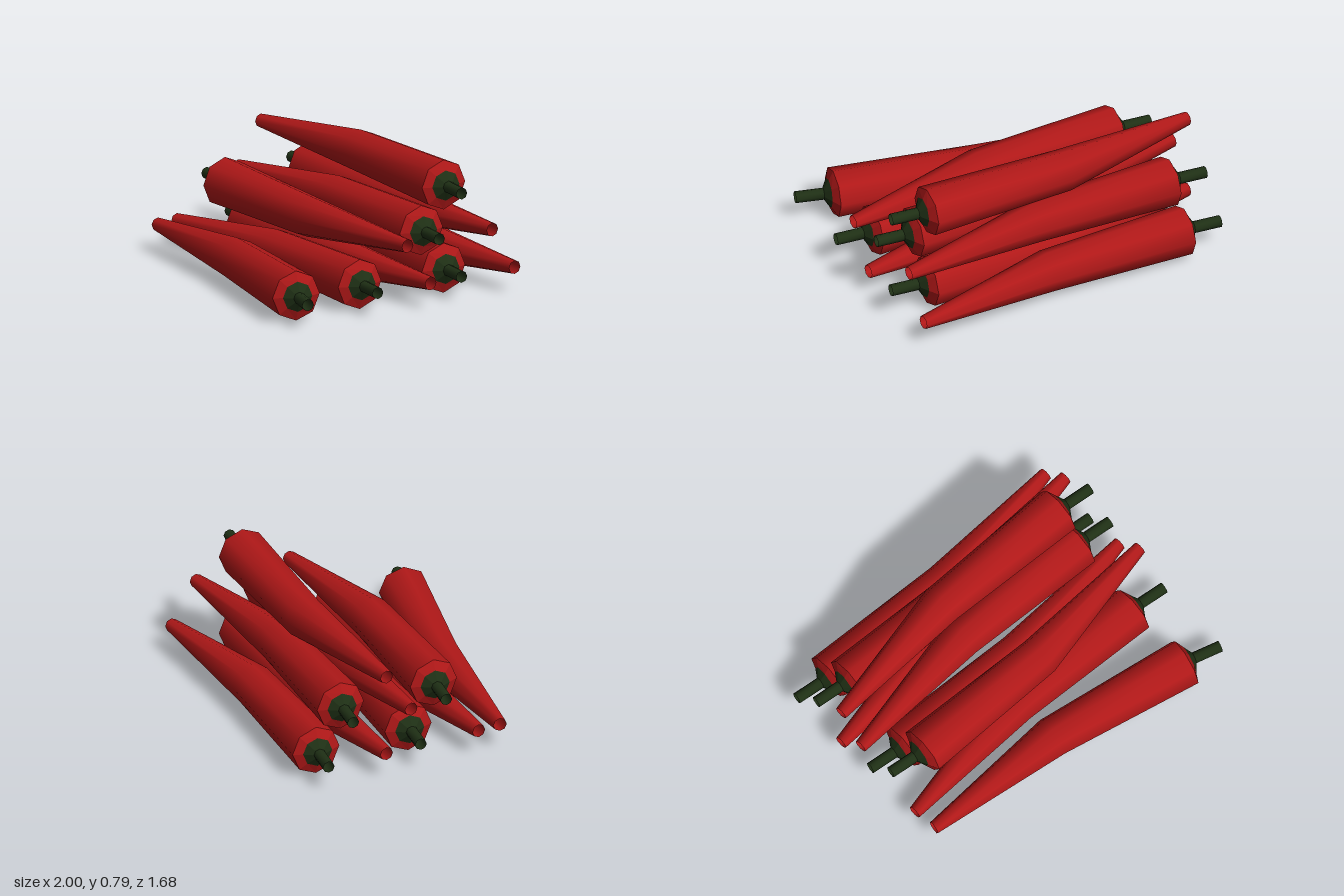
import * as THREE from 'three';

const SIDES = 8;
const red = new THREE.MeshStandardMaterial({ color: 0xb01818, side: THREE.DoubleSide });
const redFlat = new THREE.MeshStandardMaterial({ color: 0xb01818, side: THREE.DoubleSide, flatShading: true });
const green = new THREE.MeshStandardMaterial({ color: 0x1f3015, side: THREE.DoubleSide });
const greenFlat = new THREE.MeshStandardMaterial({ color: 0x1f3015, side: THREE.DoubleSide, flatShading: true });

// Open tube through octagonal rings [x, z, radius, tilt], running along x
function loft(name, rings, material) {
  const positions = [], index = [];
  rings.forEach(([x, z, r, tilt], i) => {
    for (let j = 0; j < SIDES; j++) {
      const a = (j / SIDES) * Math.PI * 2;
      const side = r * Math.sin(a);
      positions.push(x - side * Math.sin(tilt), r * Math.cos(a), z + side * Math.cos(tilt));
      if (i === rings.length - 1) continue;
      const k = (j + 1) % SIDES;
      const p = i * SIDES + j, q = i * SIDES + k;
      index.push(p, q, p + SIDES, q, q + SIDES, p + SIDES);
    }
  });
  const geometry = new THREE.BufferGeometry();
  geometry.setAttribute('position', new THREE.Float32BufferAttribute(positions, 3));
  geometry.setIndex(index);
  geometry.computeVertexNormals();
  const mesh = new THREE.Mesh(geometry, material);
  mesh.name = name;
  return mesh;
}

// Rings of one pepper, from the open tip to the end of the stem
const tip = [-1, 0, 0.04, 0];
const bend = [-0.12, -0.065, 0.125, 0];
const widest = [0.767, 0, 0.148, 0.06];
const capEdge = [0.793, 0.003, 0.09, 0.12];
const stemBase = [0.825, 0.007, 0.035, 0.165];
const stemEnd = [0.99, 0.035, 0.035, 0.165];

function createPepper() {
  const pepper = new THREE.Group();
  pepper.name = 'pepper';
  pepper.add(
    loft('body', [tip, bend, widest], red),
    loft('shoulder', [widest, capEdge], redFlat),
    loft('cap', [capEdge, stemBase], greenFlat),
    loft('stem', [stemBase, stemEnd], green)
  );
  return pepper;
}

// Stacked peppers: [x, y, z, turn about y]
const LOW = 0.15, MIDDLE = 0.4, HIGH = 0.647;
const placements = [
  [0, LOW, 0.245, 0],
  [0, LOW, -0.093, Math.PI],
  [0, LOW, -0.357, 0],
  [0, LOW, -0.695, Math.PI],
  [0, MIDDLE, 0.073, Math.PI],
  [0, MIDDLE, -0.197, 0],
  [0, MIDDLE, -0.535, Math.PI],
  [0, HIGH, -0.357, 0],
  [-0.003, LOW, 0.56, -0.171] // loose one, rolled aside
];

export function createModel() {
  const pile = new THREE.Group();
  pile.name = 'pepperPile';
  for (const [x, y, z, turn] of placements) {
    const pepper = createPepper();
    pepper.position.set(x, y, z);
    pepper.rotation.y = turn;
    pile.add(pepper);
  }
  return pile;
}
